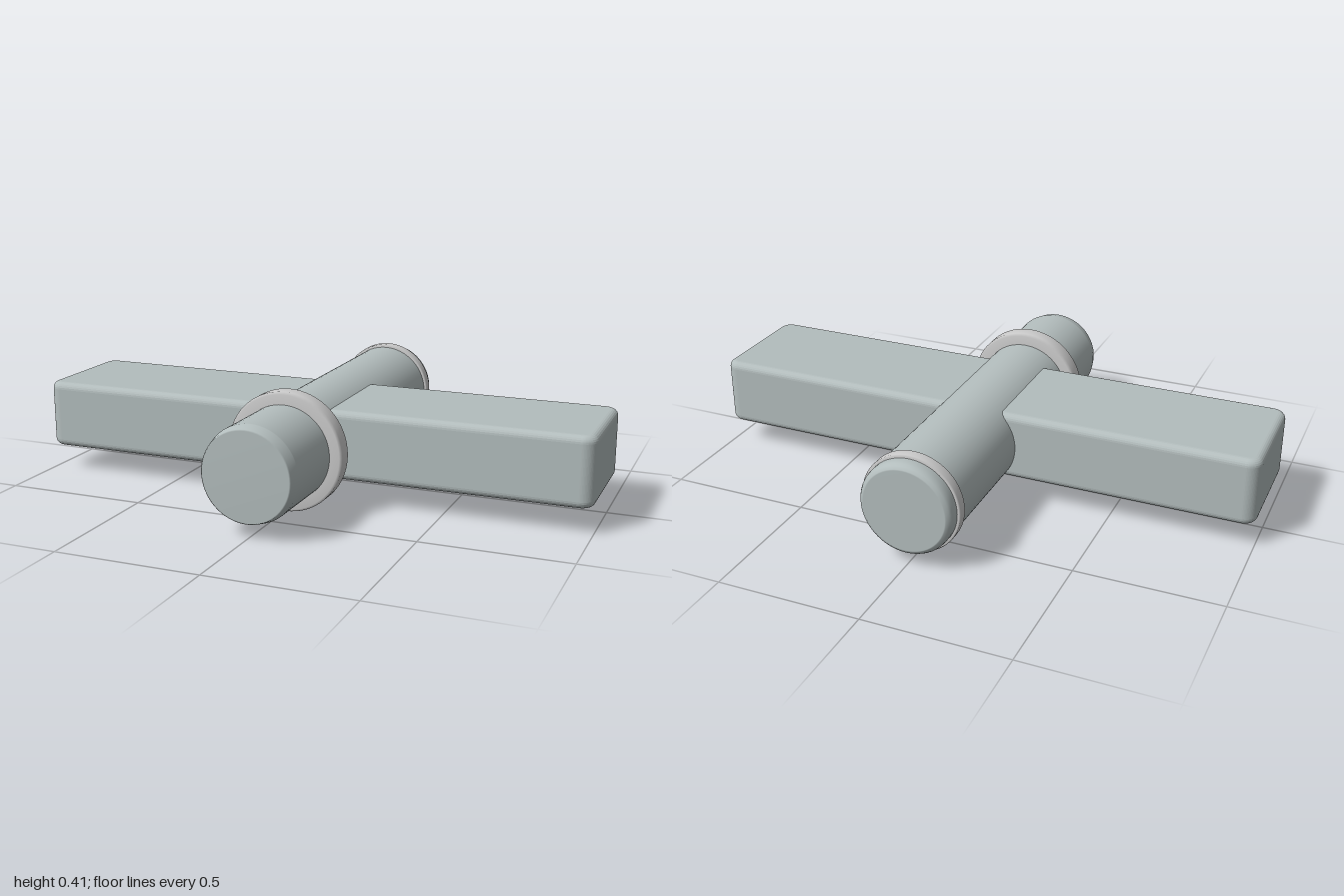
import * as THREE from 'three';

const AXIS_Y = 0.207;
const bodyMaterial = new THREE.MeshStandardMaterial({ color: 0xb3bdbd });
const ringMaterial = new THREE.MeshStandardMaterial({ color: 0xcccccc });

// Turned part along z, from [radius, z] points running back to front
function turned(name, profile, material) {
  const points = profile.map(([r, z]) => new THREE.Vector2(r, z));
  const mesh = new THREE.Mesh(new THREE.LatheGeometry(points, 64).rotateX(Math.PI / 2), material);
  mesh.name = name;
  mesh.position.y = AXIS_Y;
  return mesh;
}

// Collar with softened rims
function collar(name, radius, back, front, bevel) {
  return turned(name, [
    [0.15, back], [radius - bevel, back], [radius, back + bevel],
    [radius, front - bevel], [radius - bevel, front], [0.15, front],
  ], ringMaterial);
}

// Rounded slab spanning from the axis out to x = 1
function wingGeometry() {
  const bevel = 0.025, r = 0.022;
  const x0 = 0.03, x1 = 1 - bevel, y0 = -0.265 + bevel, y1 = 0.165 - bevel;
  const s = new THREE.Shape();
  s.moveTo(x0, y0);
  s.lineTo(x1 - r, y0);
  s.absarc(x1 - r, y0 + r, r, -Math.PI / 2, 0);
  s.absarc(x1 - r, y1 - r, r, 0, Math.PI / 2);
  s.lineTo(x0, y1);
  s.closePath();
  const height = 0.24;
  return new THREE.ExtrudeGeometry(s, {
    depth: height - 2 * bevel, bevelSize: bevel, bevelThickness: bevel,
    bevelSegments: 6, curveSegments: 8,
  }).rotateX(-Math.PI / 2).translate(0, 0.09 + bevel, 0);
}

export function createModel() {
  const model = new THREE.Group();
  model.name = 'wingedCylinder';

  // Main tube: rounded back end, tapered front end
  model.add(turned('body', [
    [0, -0.69], [0.143, -0.69], [0.147, -0.689], [0.156, -0.682], [0.161, -0.673],
    [0.163, -0.66], [0.163, -0.65], [0.163, 0.645], [0.163, 0.65],
    [0.154, 0.686], [0.15, 0.69], [0, 0.69],
  ], bodyMaterial));

  model.add(collar('frontCollar', 0.205, 0.33, 0.395, 0.008));
  model.add(collar('backCollar', 0.173, -0.64, -0.6, 0.004));

  // Side wings; the right one is turned half round and shifted to match in z
  const geometry = wingGeometry();
  const left = new THREE.Mesh(geometry, bodyMaterial);
  left.name = 'leftWing';
  const right = new THREE.Mesh(geometry, bodyMaterial);
  right.name = 'rightWing';
  right.rotation.y = Math.PI;
  right.position.z = 0.1;
  model.add(left, right);

  return model;
}
